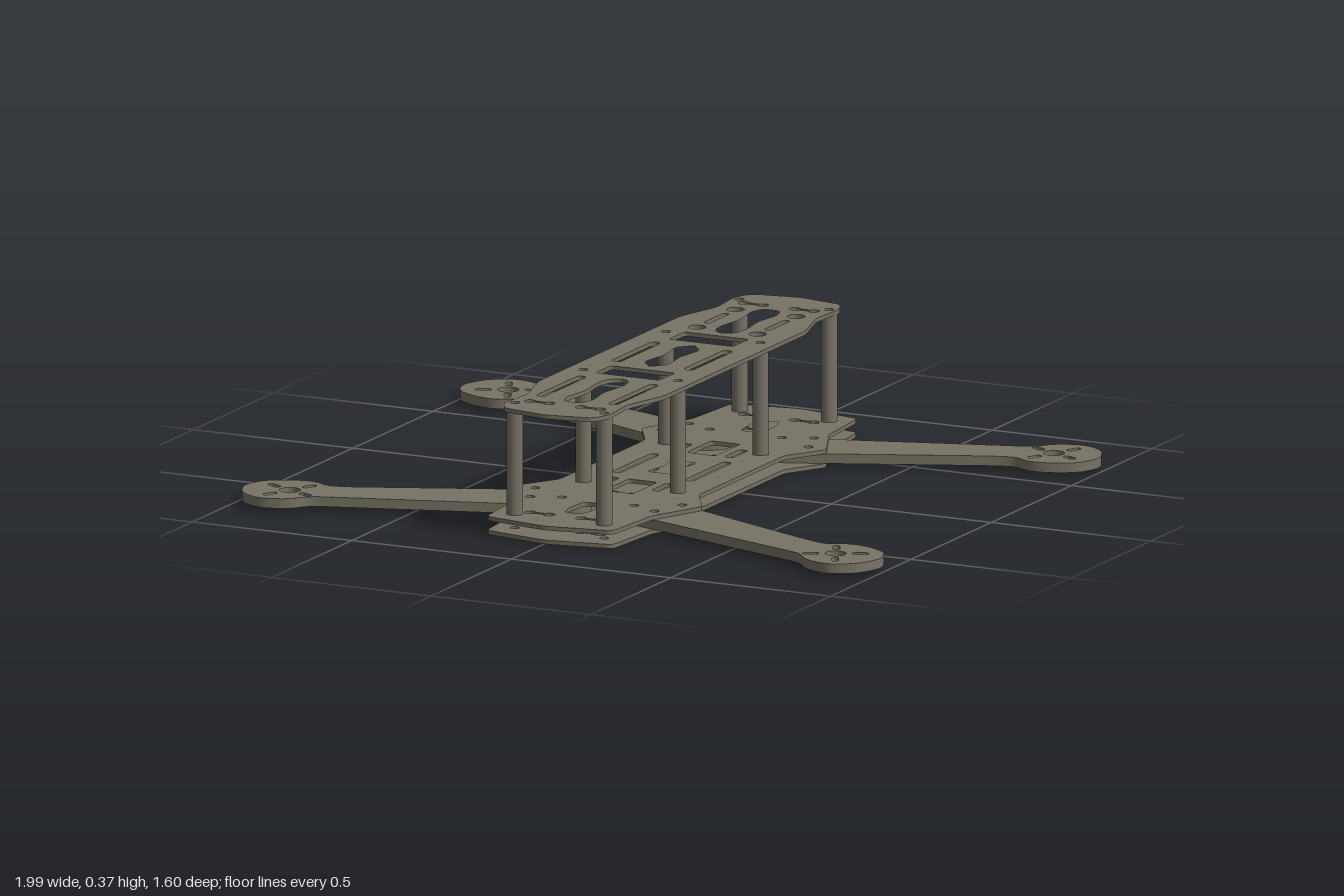
import * as THREE from 'three';

const material = new THREE.MeshStandardMaterial({ color: 0x777264 });
const V = (x, z) => new THREE.Vector2(x, z);

// Closed outline with every corner softened by radius r
function rounded(points, r, Type = THREE.Path) {
  const path = new Type();
  points.forEach(([x, z], i) => {
    const p = V(x, z);
    const toward = ([a, b]) => {
      const d = V(a, b).sub(p);
      return p.clone().addScaledVector(d, Math.min(r / d.length(), 0.45));
    };
    const a = toward(points[(i + points.length - 1) % points.length]);
    const b = toward(points[(i + 1) % points.length]);
    if (i) path.lineTo(a.x, a.y); else path.moveTo(a.x, a.y);
    path.quadraticCurveTo(p.x, p.y, b.x, b.y);
  });
  path.closePath();
  return path;
}

// Hole shapes, in plan (x, z)
const circle = (x, z, r) => new THREE.Path().absarc(x, z, r, 0, Math.PI * 2, false);
const rect = (x0, x1, z0, z1) => rounded([[x0, z0], [x1, z0], [x1, z1], [x0, z1]], 0.01);

function slot(x, z, length, r, angle) {
  const h = length / 2 - r, dx = Math.cos(angle) * h, dz = Math.sin(angle) * h, q = Math.PI / 2;
  const path = new THREE.Path();
  path.absarc(x + dx, z + dz, r, angle - q, angle + q, false);
  path.absarc(x - dx, z - dz, r, angle + q, angle + 3 * q, false);
  path.closePath();
  return path;
}

function bone(x, z) {
  const a = Math.asin(0.4), path = new THREE.Path();
  path.absarc(x + 0.03, z, 0.016, a - Math.PI, Math.PI - a, false);
  path.absarc(x - 0.03, z, 0.016, a, 2 * Math.PI - a, false);
  path.closePath();
  return path;
}

// Outline mirrored about x = 0 from its +x half
const mirrorX = (half) => [...half, ...half.filter(p => p[0] !== 0).reverse().map(([x, z]) => [-x, z])];
// Outline symmetric about both axes, from its z > 0 quarter listed from the end inwards
const mirrorXZ = (quarter) => {
  const back = quarter.filter(p => p[1] !== 0).reverse().map(([x, z]) => [x, -z]);
  const half = [...quarter, ...back];
  const left = half.slice().reverse().filter(p => p[0] !== 0).map(([x, z]) => [-x, z]);
  return [...half, ...left];
};

// Flat sheet from a plan outline
function sheet(name, shape, holes, bottom, thickness) {
  shape.holes.push(...holes);
  const geometry = new THREE.ExtrudeGeometry(shape, { depth: thickness, bevelEnabled: false, curveSegments: 10 });
  geometry.rotateX(Math.PI / 2);
  const mesh = new THREE.Mesh(geometry, material);
  mesh.position.y = bottom + thickness;
  mesh.name = name;
  return mesh;
}

const signs = [-1, 1];
const corners = signs.flatMap(sz => signs.map(sx => [sx, sz]));
const posts = corners.flatMap(([sx, sz]) => [[sx * 0.14, sz * 0.7], [sx * 0.148, sz * 0.257]]);
const postHoles = () => posts.map(([x, z]) => circle(x, z, 0.013));
const armBolts = [[0.195, 0.495], [0.23, 0.393], [0.113, 0.46]];
const boltHoles = (sx, sz) => armBolts.map(([x, z]) => circle(sx * x, sz * z, 0.013));

// Lower and middle plates share one pattern
function basePlate(name, y) {
  const outline = mirrorXZ([[0, 0.797], [0.198, 0.762], [0.215, 0.55], [0.29, 0.385], [0.217, 0.265]]);
  const holes = postHoles();
  for (const [sx, sz] of corners) {
    holes.push(...boltHoles(sx, sz), bone(sx * 0.08, sz * 0.665));
    const xs = [sx * 0.073, sx * 0.1].sort((a, b) => a - b);
    const zs = [sz * 0.18, sz * 0.275].sort((a, b) => a - b);
    holes.push(rect(...xs, ...zs));
  }
  for (const s of signs) {
    holes.push(slot(s * 0.113, 0, 0.25, 0.014, Math.PI / 2));
    holes.push(rect(-0.045, 0.045, Math.min(s * 0.18, s * 0.335), Math.max(s * 0.18, s * 0.335)));
    holes.push(rounded(mirrorX([[0.03, s * 0.485], [0.037, s * 0.57], [0.025, s * 0.62]]), 0.015));
  }
  holes.push(rounded(mirrorXZ([[0.04, 0.075], [0.026, 0]]), 0.01));
  return sheet(name, rounded(outline, 0.02, THREE.Shape), holes, y, 0.012);
}

function topPlate() {
  const outline = mirrorXZ([[0, 0.797], [0.14, 0.771], [0.165, 0.715], [0.155, 0.59], [0.197, 0.44]]);
  const holes = postHoles();
  for (const s of signs) {
    // Waisted openings and wide windows
    holes.push(rounded(mirrorX([[0, s * 0.305], [0.036, s * 0.335], [0.04, s * 0.39], [0.027, s * 0.48],
      [0.042, s * 0.575], [0.027, s * 0.622]]), 0.02));
    holes.push(rect(-0.1, 0.1, Math.min(s * 0.18, s * 0.277), Math.max(s * 0.18, s * 0.277)));
    holes.push(slot(s * 0.113, 0, 0.26, 0.015, Math.PI / 2));
    // Long front slots, shorter rear slots with round holes
    holes.push(slot(s * 0.113, 0.465, 0.27, 0.014, Math.PI / 2));
    holes.push(slot(s * 0.095, -0.465, 0.13, 0.01, Math.PI / 2));
    holes.push(circle(s * 0.095, -0.585, 0.025), circle(s * 0.095, -0.345, 0.025));
    for (const sz of signs) holes.push(bone(s * 0.08, sz * 0.665));
  }
  holes.push(rounded(mirrorXZ([[0, 0.14], [0.036, 0.1], [0.036, 0.075], [0.024, 0]]), 0.012));
  return sheet('topPlate', rounded(outline, 0.02, THREE.Shape), holes, 0.36, 0.012);
}

// Arm with a motor pad at its tip
function arm(sx, sz) {
  const outline = [[1, 0.68], [0.965, 0.765], [0.893, 0.808], [0.81, 0.783], [0.768, 0.725], [0.7, 0.703],
    [0.22, 0.548], [0.04, 0.49], [0.04, 0.4], [0.16, 0.33], [0.29, 0.385], [0.725, 0.573], [0.785, 0.588],
    [0.835, 0.555], [0.905, 0.567], [0.972, 0.605]].map(([x, z]) => [sx * x, sz * z]);
  const cx = 0.855 * sx, cz = 0.68 * sz;
  const holes = [...boltHoles(sx, sz), circle(cx, cz, 0.03)];
  for (let i = 0; i < 4; i++) {
    const a = Math.atan2(sz * 0.064, sx * 0.03) + i * Math.PI / 2;
    holes.push(slot(cx + Math.cos(a) * 0.07, cz + Math.sin(a) * 0.07, 0.046, 0.01, a));
  }
  const name = (sz > 0 ? 'front' : 'rear') + (sx > 0 ? 'Left' : 'Right') + 'Arm';
  return sheet(name, rounded(outline, 0.035, THREE.Shape), holes, 0.012, 0.028);
}

export function createModel() {
  const model = new THREE.Group();
  model.name = 'quadcopterFrame';
  model.add(basePlate('bottomPlate', 0), basePlate('middlePlate', 0.04), topPlate());
  for (const [sx, sz] of corners) model.add(arm(sx, sz));

  // Hollow standoffs between middle and top plates: smooth walls, flat ends
  const wall = (r, side) => {
    const m = material.clone();
    m.side = side;
    return [new THREE.CylinderGeometry(r, r, 0.308, 20, 1, true), m];
  };
  const outer = wall(0.023, THREE.FrontSide), inner = wall(0.013, THREE.BackSide);
  posts.forEach(([x, z]) => {
    const post = new THREE.Group();
    post.name = 'standoff';
    post.add(new THREE.Mesh(...outer), new THREE.Mesh(...inner));
    post.children[0].name = 'standoffWall';
    post.children[1].name = 'standoffBore';
    post.position.set(x, 0.206, z);
    model.add(post);
  });
  return model;
}
